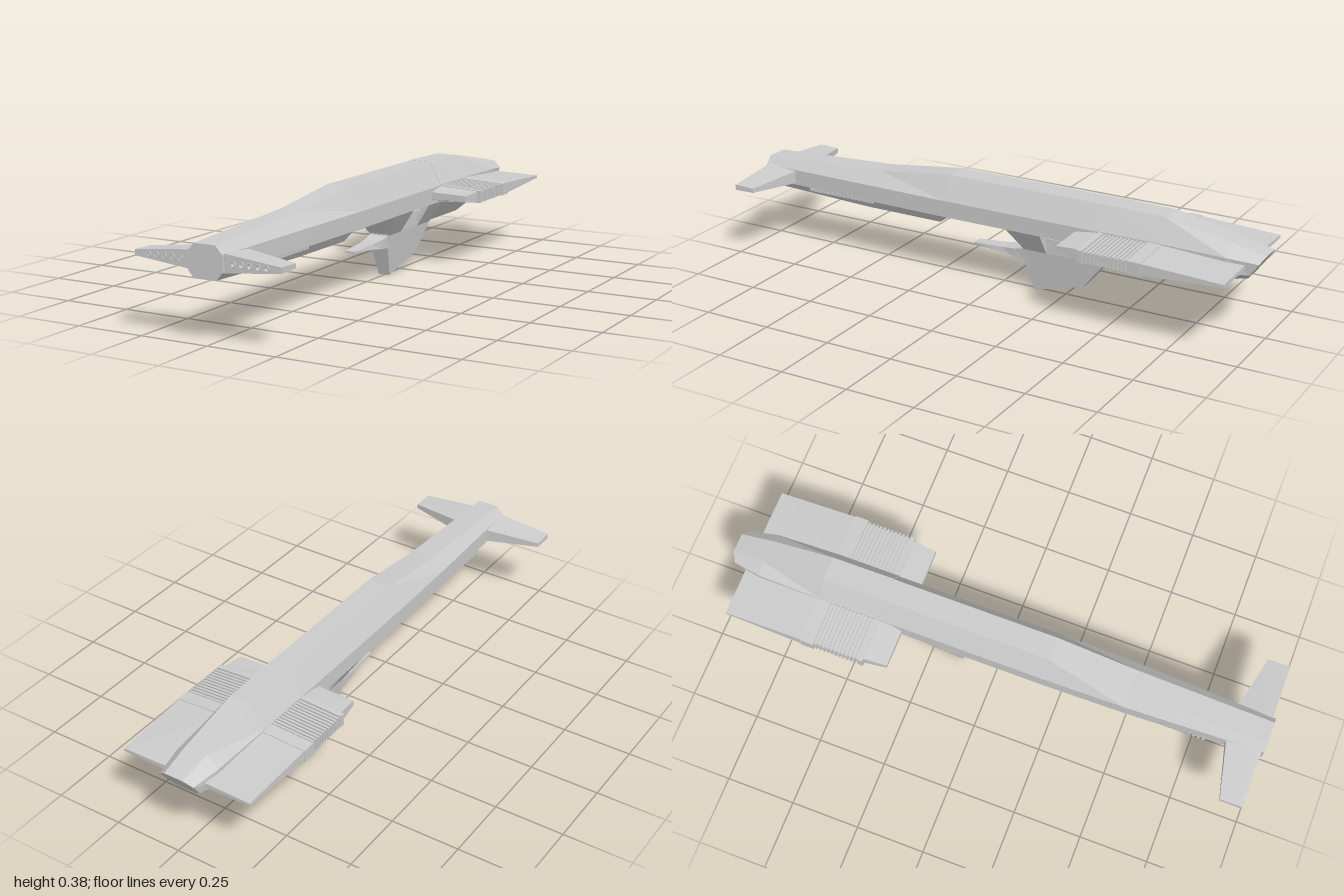
import * as THREE from 'three';

const material = new THREE.MeshStandardMaterial({ color: 0xcccccc, flatShading: true });

function mesh(name, geometry) {
  const m = new THREE.Mesh(geometry, material);
  m.name = name;
  return m;
}

// Closed loft through rings ordered front to back, each counter-clockwise seen from the front.
// side = -1 mirrors it across x = 0.
function loft(rings, side = 1) {
  if (side < 0) rings = rings.map(r => r.map(([x, y, z]) => [-x, y, z]).reverse());
  const n = rings[0].length, out = [];
  const tri = (...pts) => pts.forEach(p => out.push(...p));
  for (let i = 0; i < rings.length - 1; i++) {
    for (let j = 0; j < n; j++) {
      const k = (j + 1) % n;
      const a = rings[i][j], b = rings[i][k], c = rings[i + 1][k], d = rings[i + 1][j];
      tri(a, d, b);
      tri(b, d, c);
    }
  }
  const first = rings[0], last = rings[rings.length - 1];
  for (let j = 1; j < n - 1; j++) {
    tri(first[0], first[j], first[j + 1]);
    tri(last[0], last[j + 1], last[j]);
  }
  const g = new THREE.BufferGeometry();
  g.setAttribute('position', new THREE.Float32BufferAttribute(out, 3));
  g.computeVertexNormals();
  return g;
}

// Symmetric ring from [half width, y, z] levels listed bottom to top
const ring = levels => [
  ...levels,
  ...levels.map(([w, y, z]) => [-w, y, z]).reverse(),
];
const level = (z, levels) => ring(levels.map(([w, y]) => [w, y, z]));

// Side profile of [z, y] points given a half width that depends on height
function slab(profile, width) {
  const shape = new THREE.Shape(profile.map(([z, y]) => new THREE.Vector2(z, y)));
  const g = new THREE.ExtrudeGeometry(shape, { depth: 2, bevelEnabled: false });
  g.translate(0, 0, -1).rotateY(-Math.PI / 2);
  const p = g.attributes.position;
  for (let i = 0; i < p.count; i++) p.setX(i, p.getX(i) * width(p.getY(i)));
  g.computeVertexNormals();
  return g;
}

// Four-cornered wing section: root and tip x, with half thickness at each
const wingRing = (z, x0, x1, t0, t1, y = 0.266, zTip = z) => [
  [x0, y - t0, z], [x1, y - t1, zTip], [x1, y + t1, zTip], [x0, y + t0, z],
];

function frontWing(side) {
  const g = new THREE.Group();
  g.name = side > 0 ? 'leftFrontWing' : 'rightFrontWing';
  const zFace = 0.99, zBack = 0.978;
  // Face plate with a row of round ports
  const pts = [[0.05, 0.233], [0.271, 0.255], [0.271, 0.275], [0.05, 0.297]];
  const plate = new THREE.Shape(pts.map(([x, y]) => new THREE.Vector2(side * x, y)));
  for (let i = 0; i < 5; i++) {
    const x = side * (0.097 + i * 0.0302);
    plate.holes.push(new THREE.Path().absarc(x, 0.265, 0.008, 0, Math.PI * 2, true));
    const rim = mesh('portRim', new THREE.TorusGeometry(0.0085, 0.0018, 6, 16));
    rim.position.set(x, 0.265, zFace);
    g.add(rim);
  }
  const face = new THREE.ExtrudeGeometry(plate, { depth: zFace - zBack, bevelEnabled: false, curveSegments: 10 });
  face.translate(0, 0, zBack);
  g.add(mesh('portPlate', face));
  g.add(mesh('wingBody', loft([
    wingRing(zBack, 0.05, 0.271, 0.032, 0.01, 0.265),
    wingRing(0.86, 0.05, 0.271, 0.025, 0.008, 0.265, 0.91),
  ], side)));
  return g;
}

function rearWing(side) {
  const g = new THREE.Group();
  g.name = side > 0 ? 'leftRearWing' : 'rightRearWing';
  const block = (name, z0, z1, x1, inset = 0) => g.add(mesh(name, loft(
    [z0, z1].map(z => wingRing(z, 0.07, x1, 0.032 - inset, 0.022 - inset)), side)));
  g.add(mesh('wingNose', loft([
    wingRing(-0.33, 0.095, 0.233, 0.014, 0.01, 0.27),
    wingRing(-0.415, 0.085, 0.24, 0.028, 0.02),
  ], side)));
  block('frontCollar', -0.415, -0.435, 0.252);
  block('louvreCore', -0.435, -0.6, 0.246, 0.007);
  for (let i = 0; i < 11; i++) {
    const z = -0.443 - i * 0.0145;
    block('louvre', z, z - 0.007, 0.252, 0.001);
  }
  block('rearCollar', -0.6, -0.65, 0.256);
  g.add(mesh('wingTail', loft([
    wingRing(-0.65, 0.06, 0.253, 0.03, 0.02),
    wingRing(-0.94, 0.05, 0.25, 0.009, 0.005, 0.267),
  ], side)));
  return g;
}

export function createModel() {
  const model = new THREE.Group();
  model.name = 'starship';

  // Upper hull running from the bow to the stern block
  model.add(mesh('upperHull', loft([
    [1, 0.32, 0.04, 0.065], [0.5, 0.345, 0.042, 0.085],
    [0.2, 0.381, 0.043, 0.09], [-0.41, 0.381, 0.043, 0.09],
  ].map(([z, top, wTop, w]) => level(z, [[w, 0.236], [w, 0.297 - (z === 1 ? 0.005 : 0)], [wTop, top]])))));

  // Narrower hull under the bow, ending in a raked face
  model.add(mesh('lowerHull', loft([
    level(1, [[0.043, 0.211], [0.065, 0.237]]),
    level(0.55, [[0.048, 0.197], [0.073, 0.237]]),
    ring([[0.048, 0.196, 0.24], [0.073, 0.237, 0.2]]),
  ])));

  // Stern block with its slanted end
  model.add(mesh('sternHull', loft([
    level(-0.41, [[0.04, 0.16], [0.091, 0.234], [0.091, 0.299], [0.044, 0.382]]),
    level(-0.64, [[0.04, 0.16], [0.091, 0.234], [0.091, 0.299], [0.044, 0.378]]),
    level(-0.88, [[0.04, 0.203], [0.085, 0.238], [0.085, 0.293], [0.042, 0.332]]),
    ring([[0.036, 0.217, -0.94], [0.066, 0.24, -0.955], [0.066, 0.283, -0.985], [0.036, 0.306, -1]]),
  ])));

  // Keel under the hull with a recessed bay on each side
  const keelWidth = y => 0.04 + (y - 0.155) * 0.62;
  model.add(mesh('keelFront', slab([[-0.055, 0.237], [-0.1, 0.155], [-0.19, 0.155], [-0.19, 0.237]], keelWidth)));
  model.add(mesh('keelRear', slab([[-0.315, 0.237], [-0.315, 0.155], [-0.415, 0.155], [-0.415, 0.237]], keelWidth)));
  model.add(mesh('bayWall', slab([[-0.19, 0.237], [-0.19, 0.155], [-0.315, 0.155], [-0.315, 0.237]], () => 0.04)));
  for (const s of [1, -1]) {
    const beam = mesh('bayBeam', new THREE.BoxGeometry(0.02, 0.014, 0.11));
    beam.position.set(s * 0.05, 0.214, -0.252);
    model.add(beam);
  }

  // Ventral fin and its forward boom
  model.add(mesh('ventralFin', slab([
    [-0.095, 0.158], [-0.1, 0.108], [-0.135, 0], [-0.33, 0.053], [-0.415, 0.158],
  ], y => 0.022 + y * 0.115)));
  model.add(mesh('finBoom', loft([
    level(0.115, [[0.02, 0.127], [0.02, 0.133]]),
    level(0, [[0.029, 0.12], [0.026, 0.139]]),
    level(-0.06, [[0.034, 0.113], [0.034, 0.146]]),
    level(-0.11, [[0.036, 0.106], [0.039, 0.158]]),
  ])));

  for (const s of [1, -1]) {
    model.add(frontWing(s), rearWing(s));
    // Row of vents tucked under the hull overhang
    for (let i = 0; i < 16; i++) {
      const vent = mesh('hullVent', new THREE.BoxGeometry(0.012, 0.012, 0.01));
      vent.position.set(s * 0.07, 0.23, 0.52 + i * 0.018);
      model.add(vent);
    }
  }
  model.position.x = -0.002;
  return model;
}
